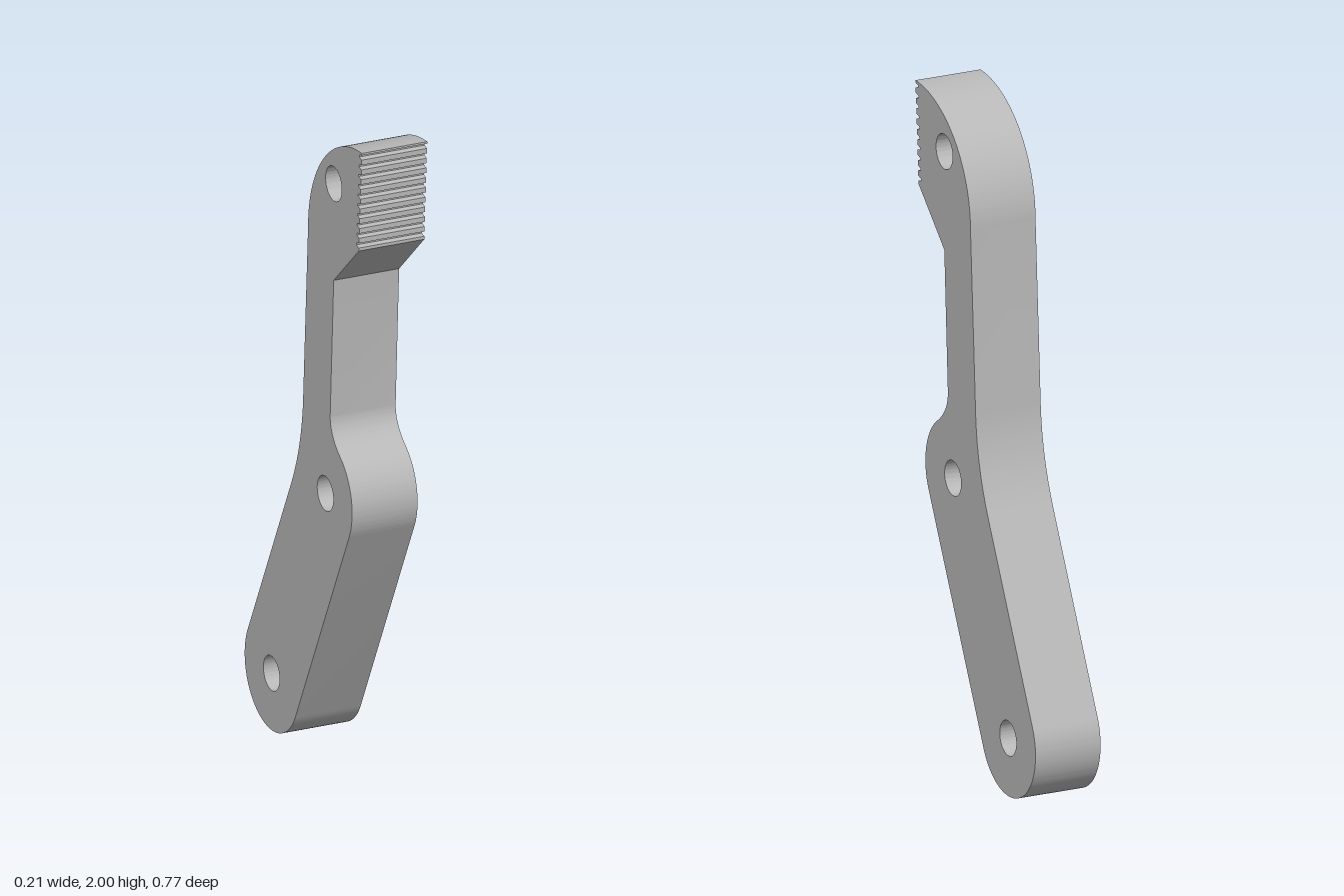
import * as THREE from 'three';
import { toCreasedNormals } from 'three/addons/utils/BufferGeometryUtils.js';

const WIDTH = 0.21;
const HOLE_RADIUS = 0.053;
const LOBE_RADIUS = 0.176;
const TOP_HOLE = [0.2, 1.84], MIDDLE_HOLE = [0.145, 0.86], LOWER_HOLE = [-0.208, 0.176];

// Side profile, drawn as (z, y)
function leverProfile() {
  const shape = new THREE.Shape();
  const tilt = Math.atan2(MIDDLE_HOLE[1] - LOWER_HOLE[1], MIDDLE_HOLE[0] - LOWER_HOLE[0]);
  const side = tilt - Math.PI / 2;

  // Rounded back of the head, shank and bend
  shape.moveTo(0.385, 2);
  shape.absarc(0.385, 1.647, 0.353, Math.PI / 2, Math.PI, false);
  shape.lineTo(0, 1.11);
  shape.quadraticCurveTo(-0.008, 0.947, -0.085, 0.8);

  // Lower rounded end, then the middle lobe
  shape.absarc(...LOWER_HOLE, LOBE_RADIUS, side + Math.PI, side + 2 * Math.PI, false);
  shape.absarc(...MIDDLE_HOLE, LOBE_RADIUS, side, 0.96, false);

  // Fillet up into the shank and the sloped underside of the jaw
  shape.quadraticCurveTo(0.178, 1.05, 0.177, 1.11);
  shape.lineTo(0.2, 1.54);
  shape.lineTo(0.365, 1.69);

  // Gripping teeth
  const teeth = 10, pitch = 0.31 / teeth, depth = 0.015;
  for (let i = 0; i < teeth; i++) {
    const y = 1.69 + i * pitch;
    const z = 0.365 + 0.02 * (i / teeth);
    shape.lineTo(z, y + pitch * 0.3);
    shape.lineTo(z - depth, y + pitch * 0.45);
    shape.lineTo(z - depth, y + pitch * 0.65);
    shape.lineTo(z + 0.002, y + pitch * 0.8);
  }
  shape.lineTo(0.385, 2);

  // Pivot holes
  for (const [z, y] of [TOP_HOLE, MIDDLE_HOLE, LOWER_HOLE]) {
    const hole = new THREE.Path();
    hole.absarc(z, y, HOLE_RADIUS, 0, Math.PI * 2, true);
    shape.holes.push(hole);
  }
  return shape;
}

export function createModel() {
  const group = new THREE.Group();
  group.name = 'toothedLever';

  const steel = new THREE.MeshStandardMaterial({ color: 0xb8b8b8 });
  steel.name = 'grey';

  const geometry = new THREE.ExtrudeGeometry(leverProfile(), {
    depth: WIDTH, bevelEnabled: false, curveSegments: 32,
  });
  geometry.translate(0, 0, -WIDTH / 2);
  geometry.rotateY(-Math.PI / 2);

  const lever = new THREE.Mesh(toCreasedNormals(geometry, 0.45), steel);
  lever.name = 'leverBody';
  group.add(lever);
  return group;
}
